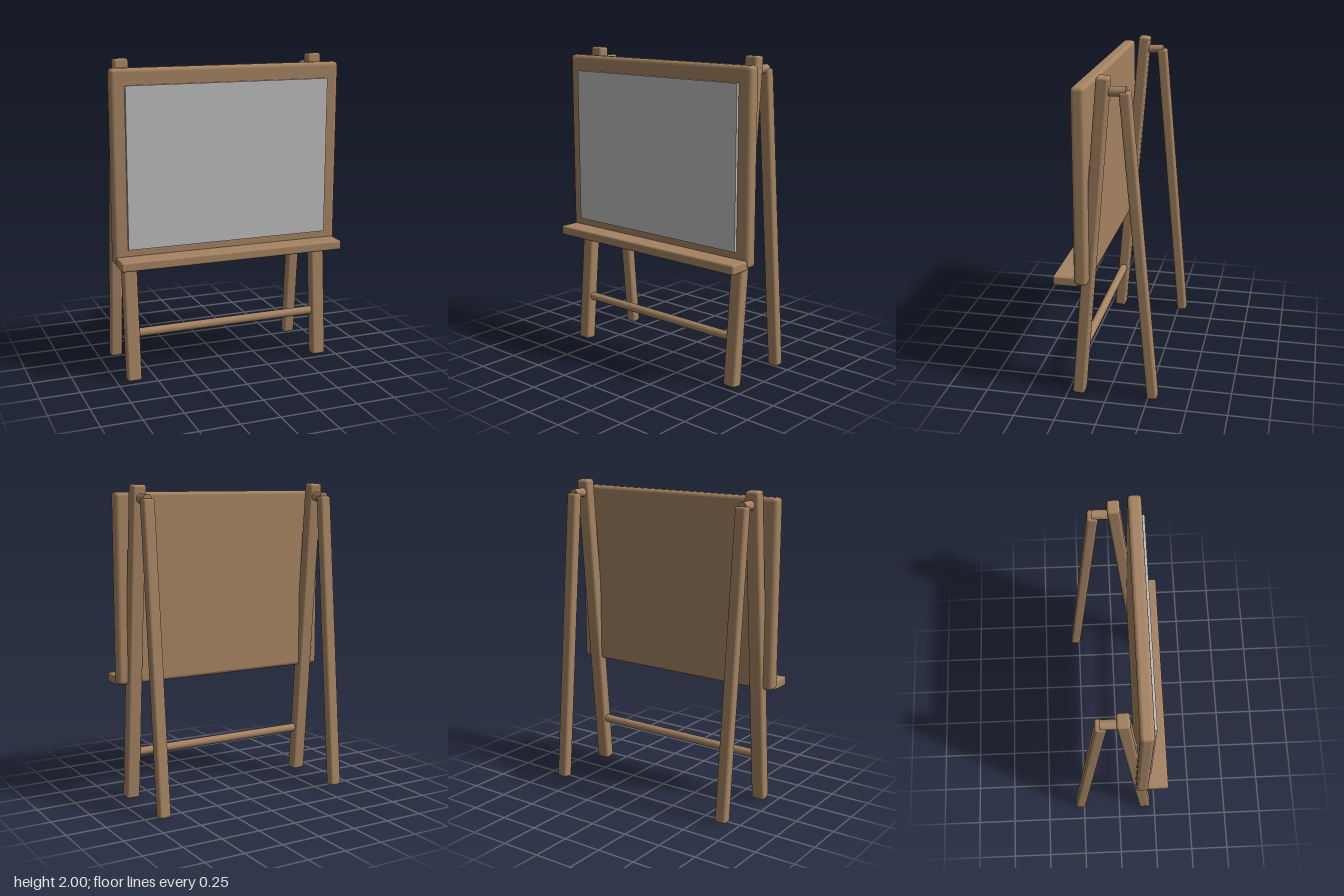
import * as THREE from 'three';
import { RoundedBoxGeometry } from 'three/addons/geometries/RoundedBoxGeometry.js';

export function createModel() {
  const model = new THREE.Group();
  model.name = 'easel';

  const wood = new THREE.MeshStandardMaterial({ color: 0xa58362 });
  wood.name = 'wood';
  const slate = new THREE.MeshStandardMaterial({ color: 0xbebebe });
  slate.name = 'writing surface grey';

  function add(name, geometry, material, x, y, z) {
    const mesh = new THREE.Mesh(geometry, material);
    mesh.name = name;
    mesh.position.set(x, y, z);
    model.add(mesh);
    return mesh;
  }

  const softBox = (w, h, d, r) => new RoundedBoxGeometry(w, h, d, 2, r);

  // Leaning leg between two end points in the side plane
  function addLeg(name, x, width, depth, bottom, top) {
    const dy = top.y - bottom.y;
    const dz = top.z - bottom.z;
    const leg = add(name, softBox(width, Math.hypot(dy, dz), depth, 0.016), wood,
      x, (top.y + bottom.y) / 2, (top.z + bottom.z) / 2);
    leg.rotation.x = Math.atan2(dz, dy);
  }

  // Legs and hinge pegs, mirrored left and right
  for (const [side, sign] of [['left', 1], ['right', -1]]) {
    addLeg(side + 'FrontLeg', sign * 0.64, 0.09, 0.075, { y: 0.004, z: 0.182 }, { y: 1.996, z: 0.013 });
    addLeg(side + 'RearLeg', sign * 0.635, 0.076, 0.065, { y: 0.004, z: -0.277 }, { y: 1.914, z: -0.106 });
    const peg = add(side + 'HingePeg', new THREE.CylinderGeometry(0.029, 0.029, 0.125, 20), wood,
      sign * 0.635, 1.912, -0.051);
    peg.rotation.x = Math.PI / 2;
  }

  // Rung between the front legs
  const rung = add('rung', new THREE.CylinderGeometry(0.027, 0.027, 1.22, 20), wood, 0, 0.305, 0.156);
  rung.rotation.z = Math.PI / 2;

  // Board, raised writing panel and chalk tray
  add('board', softBox(1.49, 1.19, 0.082, 0.025), wood, 0, 1.355, 0.141);
  add('writingPanel', new THREE.BoxGeometry(1.32, 0.995, 0.04), slate, 0, 1.352, 0.18);
  add('chalkTray', softBox(1.47, 0.06, 0.15, 0.012), wood, 0, 0.78, 0.235);

  return model;
}
